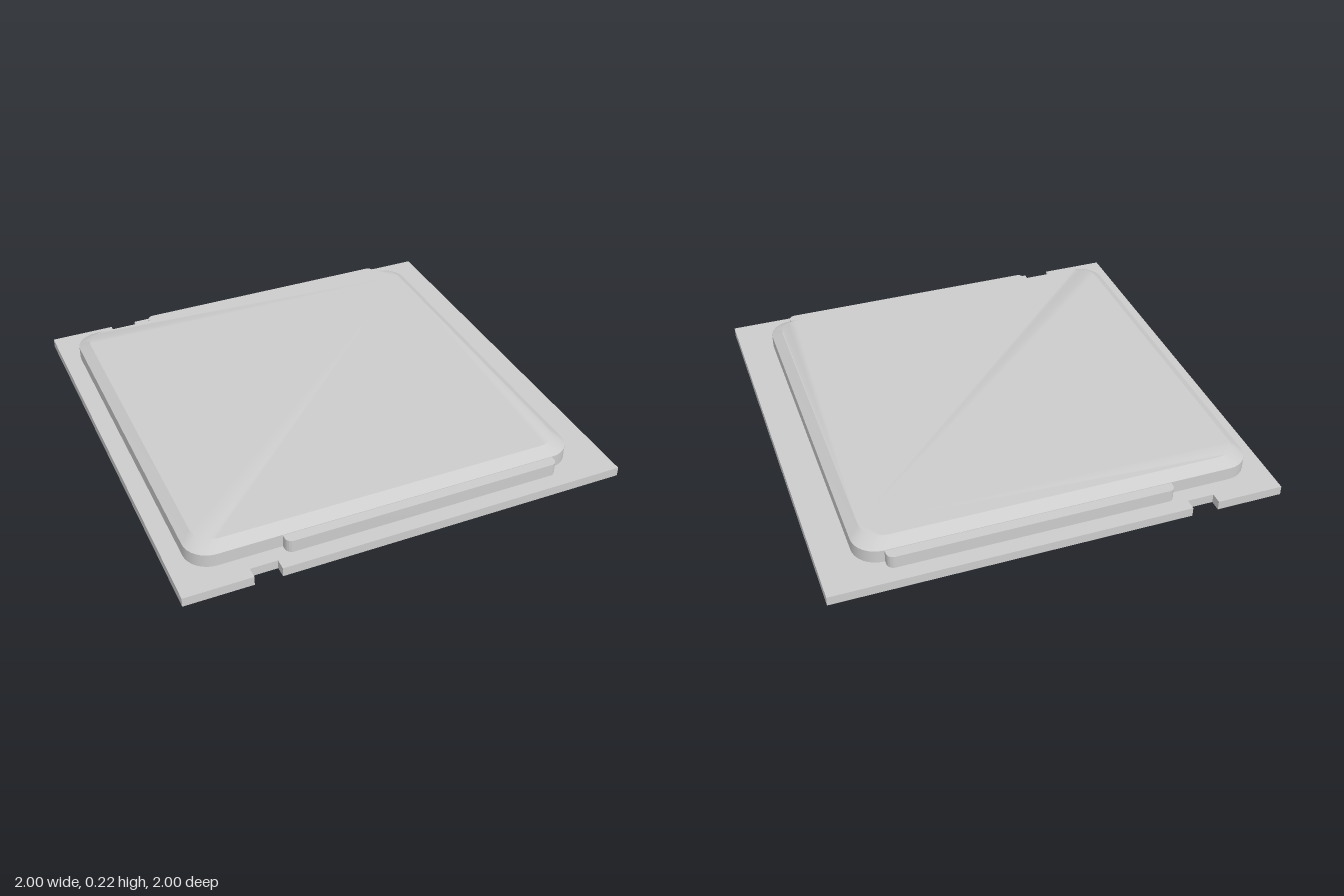
import * as THREE from 'three';
import { mergeGeometries, toCreasedNormals } from 'three/addons/utils/BufferGeometryUtils.js';

const material = new THREE.MeshStandardMaterial({ color: 0xcccccc });
const flatMaterial = new THREE.MeshStandardMaterial({ color: 0xcccccc, flatShading: true });

function addPart(group, name, geometry, mat = material) {
  const mesh = new THREE.Mesh(geometry, mat);
  mesh.name = name;
  group.add(mesh);
}

// Rounded rectangle outline, counter-clockwise in shape space
function roundedRect(x0, x1, y0, y1, r) {
  const s = new THREE.Shape();
  s.absarc(x1 - r, y1 - r, r, 0, Math.PI / 2);
  s.absarc(x0 + r, y1 - r, r, Math.PI / 2, Math.PI);
  s.absarc(x0 + r, y0 + r, r, Math.PI, Math.PI * 1.5);
  s.absarc(x1 - r, y0 + r, r, Math.PI * 1.5, Math.PI * 2);
  s.closePath();
  return s;
}

// Extrude a plan shape upwards; shape y becomes -z
function slab(shape, y, height) {
  const g = new THREE.ExtrudeGeometry(shape, { depth: height, bevelEnabled: false, curveSegments: 8 });
  g.rotateX(-Math.PI / 2);
  g.translate(0, y, 0);
  return toCreasedNormals(g, 0.5);
}

// Skin through rounded-rectangle sections, capped at both ends
function loft(sections) {
  const n = 36, positions = [], index = [];
  for (const [y, hw, hd, r] of sections) {
    for (let i = 0; i < n; i++) {
      const corner = Math.floor(i / 9);
      const a = (corner + (i % 9) / 8) * Math.PI / 2;
      const sx = corner === 0 || corner === 3 ? 1 : -1;
      const sz = corner < 2 ? 1 : -1;
      positions.push(sx * (hw - r) + r * Math.cos(a), y, -(sz * (hd - r) + r * Math.sin(a)));
    }
  }
  const last = (sections.length - 1) * n;
  for (let k = 0; k < last; k += n) {
    for (let i = 0; i < n; i++) {
      const j = (i + 1) % n;
      index.push(k + i, k + j, k + n + j, k + i, k + n + j, k + n + i);
    }
  }
  for (let i = 1; i < n - 1; i++) {
    index.push(0, i + 1, i, last, last + i, last + i + 1);
  }
  const g = new THREE.BufferGeometry();
  g.setAttribute('position', new THREE.Float32BufferAttribute(positions, 3));
  g.setIndex(index);
  return toCreasedNormals(g, 0.5);
}

export function createModel() {
  const group = new THREE.Group();
  group.name = 'processorChip';

  // Square board with a keying notch in the front and back edges
  const board = new THREE.Shape([
    [-1, -1], [-0.7, -1], [-0.7, -0.95], [-0.58, -0.95], [-0.58, -1], [1, -1],
    [1, 1], [-0.58, 1], [-0.58, 0.95], [-0.7, 0.95], [-0.7, 1], [-1, 1],
  ].map(([x, y]) => new THREE.Vector2(x, y)));
  addPart(group, 'board', slab(board, 0.08, 0.042));

  // Metal lid with a sloped rim
  const lid = loft([
    [0.12, 0.882, 0.88, 0.11],
    [0.182, 0.882, 0.88, 0.11],
    [0.215, 0.836, 0.83, 0.1],
  ]);
  lid.translate(-0.037, 0, 0);
  addPart(group, 'lid', lid);

  // Low flange showing along the front and back of the lid
  addPart(group, 'lidFlange', slab(roundedRect(-0.53, 0.73, -0.928, 0.928, 0.03), 0.12, 0.06));

  // Tapered block in the middle of the underside
  const block = new THREE.CylinderGeometry(0.28 * Math.SQRT2, 0.255 * Math.SQRT2, 0.04, 4);
  block.rotateY(Math.PI / 4);
  block.translate(0, 0.062, 0);
  addPart(group, 'undersideBlock', block, flatMaterial);

  // Ring of contact pins, four rows wide, with clipped corners
  const cols = 16, rows = 20, pins = [];
  for (let i = 0; i < cols; i++) {
    for (let j = 0; j < rows; j++) {
      const di = Math.min(i, cols - 1 - i), dj = Math.min(j, rows - 1 - j);
      if (di + dj < 2 || (di > 3 && dj > 3)) continue;
      const pin = new THREE.CylinderGeometry(0.008, 0.008, 0.082, 8);
      pin.translate(-0.604 + i * 0.0805, 0.041, -0.722 + j * 0.076);
      pins.push(pin);
    }
  }
  addPart(group, 'pins', mergeGeometries(pins));

  return group;
}
